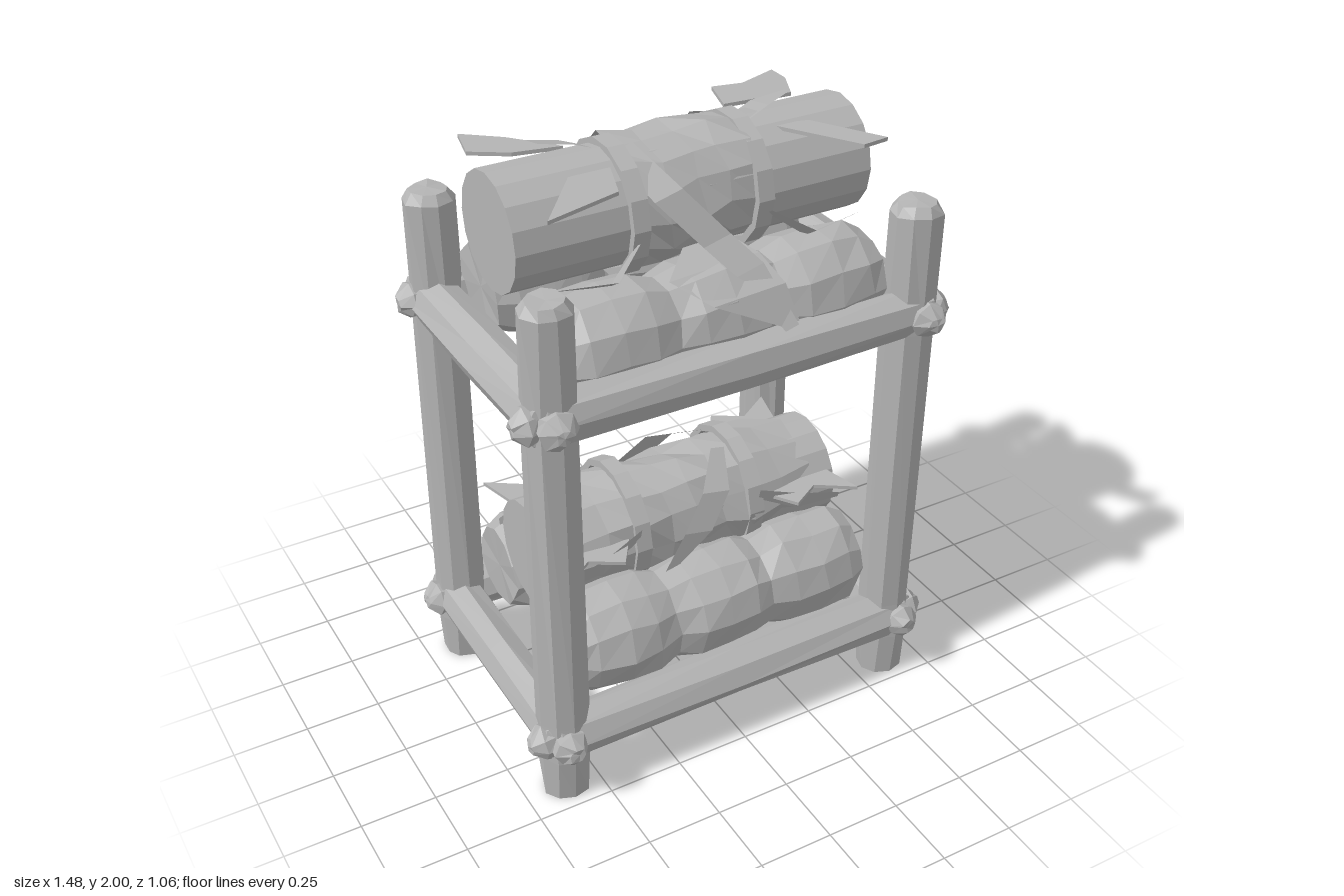
import * as THREE from 'three';

const grey = new THREE.MeshStandardMaterial({ color: 0xb4b4b4, flatShading: true, side: THREE.DoubleSide });
grey.name = 'grey';

// Repeatable noise from a position, so coincident vertices move together
const noise = (x, y, z, k) => {
  const r = (v) => Math.round(v * 1000);
  const s = Math.sin(r(x) * 0.1271 + r(y) * 0.3117 + r(z) * 0.0747 + k * 3.7) * 43758.5453;
  return (s - Math.floor(s)) * 2 - 1;
};

function jitter(geo, amount, seed) {
  const p = geo.attributes.position;
  for (let i = 0; i < p.count; i++) {
    const [x, y, z] = [p.getX(i), p.getY(i), p.getZ(i)];
    p.setXYZ(i, x + amount * noise(x, y, z, seed), y + amount * noise(x, y, z, seed + 1),
      z + amount * noise(x, y, z, seed + 2));
  }
  return geo;
}

function add(parent, name, geo, x = 0, y = 0, z = 0) {
  geo.computeVertexNormals();
  const mesh = new THREE.Mesh(geo, grey);
  mesh.name = name;
  mesh.position.set(x, y, z);
  parent.add(mesh);
  return mesh;
}

// Solid of revolution from [radius, height] pairs
const lathe = (profile, sides) =>
  new THREE.LatheGeometry(profile.map(([r, h]) => new THREE.Vector2(r, h)), sides);

// Flat band following centre points; each point may carry its own half-width vector
function ribbon(points, half) {
  const v = [], idx = [];
  points.forEach(([x, y, z, s = 1], i) => {
    v.push(x - half[0] * s, y - half[1] * s, z - half[2] * s, x + half[0] * s, y + half[1] * s, z + half[2] * s);
    if (i) idx.push(2 * i - 2, 2 * i - 1, 2 * i, 2 * i - 1, 2 * i + 1, 2 * i);
  });
  const g = new THREE.BufferGeometry();
  g.setAttribute('position', new THREE.Float32BufferAttribute(v, 3));
  g.setIndex(idx);
  return g;
}

// Thin horizontal scrap outlined by [x, z] pairs
function scrap(outline) {
  const s = new THREE.Shape(outline.map(([x, z]) => new THREE.Vector2(x, -z)));
  return new THREE.ExtrudeGeometry(s, { depth: 0.012, bevelEnabled: false }).rotateX(-Math.PI / 2);
}

function addFrame(group) {
  // Corner posts with worn tops and flared feet
  for (const sx of [-1, 1]) for (const sz of [-1, 1]) {
    const post = lathe([[0, 0], [0.075, 0], [0.085, 0.16], [0.083, 0.3], [0.083, 1.35],
      [0.082, 1.735], [0.06, 1.765], [0, 1.765]], 9);
    add(group, 'post', jitter(post, 0.004, sx + 2 * sz), sx * 0.61, 0, sz * 0.395);
    // keep the feet flat on the floor
    const p = post.attributes.position;
    for (let i = 0; i < p.count; i++) if (p.getY(i) < 0.02) p.setY(i, 0);
  }
  // Rails with pointed pegs at their ends
  const rail = (half) => lathe([[0, -half - 0.04], [0.025, -half - 0.035], [0.06, -half], [0.055, -half + 0.04],
    [0.08, -half + 0.05], [0.08, 0], [0.08, half - 0.05], [0.055, half - 0.04], [0.06, half],
    [0.025, half + 0.035], [0, half + 0.04]], 8);
  for (const y of [0.23, 1.4]) for (const s of [-1, 1]) {
    add(group, 'longRail', jitter(rail(0.7).rotateZ(Math.PI / 2), 0.006, s + y), 0, y, s * 0.41);
    add(group, 'sideRail', jitter(rail(0.49).rotateX(Math.PI / 2), 0.006, s + y + 5), s * 0.625, y, 0);
  }
}

// Soft roll tied into three bulges
function sackRoll(seed) {
  const prof = [[0, -0.53], [0.14, -0.53], [0.168, -0.47], [0.18, -0.36], [0.176, -0.26], [0.15, -0.18],
    [0.174, -0.1], [0.182, 0], [0.174, 0.1], [0.15, 0.17], [0.176, 0.25], [0.18, 0.36], [0.168, 0.47],
    [0.14, 0.53], [0, 0.53]];
  return jitter(lathe(prof, 11).rotateZ(-Math.PI / 2), 0.007, seed);
}

// Rectangular-section hoop around the roll
function strap() {
  return lathe([[0.185, -0.027], [0.208, -0.027], [0.208, 0.027], [0.185, 0.027], [0.185, -0.027]], 14)
    .rotateZ(Math.PI / 2);
}

function addRoll(group, y, halfLength, radius, seed) {
  const core = new THREE.CylinderGeometry(radius, radius, halfLength * 2, 16).rotateZ(Math.PI / 2);
  add(group, 'roll', core, 0, y, 0);
  const wrap = new THREE.CylinderGeometry(0.193, 0.193, 0.4, 13, 4, true).rotateZ(Math.PI / 2);
  add(group, 'crumpledWrap', jitter(wrap, 0.016, seed), 0, y + 0.005, 0);
}

function addLowerLoad(group) {
  for (const s of [-1, 1]) add(group, 'sackRoll', sackRoll(s + 11), 0, 0.42, s * 0.24);
  addRoll(group, 0.63, 0.53, 0.18, 4);
  for (const s of [-1, 1]) {
    add(group, 'strap', strap(), s * 0.21, 0.657, 0);
    // Crumpled cloth flaring out of each strap
    const cuff = new THREE.CylinderGeometry(0.175, 0.2, 0.24, 12, 2, true).rotateZ(-s * Math.PI / 2);
    add(group, 'clothCuff', jitter(cuff, 0.013, s + 8), s * 0.32, 0.645, 0);
    for (const t of [-1, 1]) {
      add(group, 'clothScrap', scrap([[s * 0.22, t * 0.13], [s * 0.32, t * 0.28], [s * 0.42, t * 0.22],
        [s * 0.54, t * 0.3], [s * 0.5, t * 0.14]]), 0, t > 0 ? 0.69 : 0.715, 0);
      add(group, 'clothFold', ribbon([[s * 0.22, 0.72, t * 0.2, 0.6], [s * 0.36, 0.66, t * 0.22],
        [s * 0.53, 0.62, t * 0.21, 0.3]], [0, 0.035, t * 0.01]));
    }
  }
  for (const t of [-1, 1]) {
    add(group, 'clothFold', ribbon([[-0.14, 0.57, t * 0.24, 0.3], [-0.03, 0.68, t * 0.235], [0.06, 0.78, t * 0.19],
      [0.14, 0.85, t * 0.06, 0.5]], [0.05, -0.01, 0]));
  }
}

function addUpperLoad(group) {
  for (const s of [-1, 1]) add(group, 'sackRoll', sackRoll(s + 31), 0, 1.49, s * 0.24);
  addRoll(group, 1.785, 0.592, 0.183, 9);
  for (const s of [-1, 1]) add(group, 'strap', strap(), s * 0.207, 1.78, 0);

  // Loose scraps around the top
  const scraps = [
    [[0.27, -0.15], [0.31, -0.29], [0.41, -0.27], [0.55, -0.32], [0.55, -0.24], [0.5, -0.13]],
    [[0.3, 0.06], [0.42, 0.09], [0.55, 0.31], [0.46, 0.32]],
    [[-0.24, 0.07], [-0.38, 0.09], [-0.55, 0.31], [-0.3, 0.24]],
    [[-0.3, -0.1], [-0.45, -0.13], [-0.56, -0.2], [-0.53, -0.33], [-0.42, -0.24]],
  ];
  scraps.forEach((o, i) => add(group, 'clothScrap', scrap(o), 0, 1.93 + 0.005 * (i % 2), 0));
  add(group, 'clothTip', ribbon([[-0.4, 1.98, -0.1, 0.9], [-0.3, 1.965, -0.08], [-0.2, 1.95, 0, 0.6]],
    [0, 0.012, 0.05]));
  add(group, 'clothTip', ribbon([[0.45, 1.975, -0.08, 0.3], [0.34, 1.965, -0.06], [0.21, 1.95, 0]],
    [0, 0.01, 0.05]));

  // Long bands draped over the front and the back
  add(group, 'frontBand', ribbon([[-0.19, 1.975, 0.05, 0.8], [-0.12, 1.87, 0.2], [0, 1.73, 0.27],
    [0.07, 1.65, 0.34], [0.15, 1.49, 0.45, 0.5]], [0.045, 0.012, 0]));
  add(group, 'backBand', ribbon([[0.2, 1.93, -0.16], [0.16, 1.78, -0.24], [0.12, 1.67, -0.33],
    [0.06, 1.57, -0.46], [0.05, 1.48, -0.5], [0.08, 1.34, -0.505], [0.1, 1.24, -0.48, 0.5]], [0.045, -0.008, 0]));

  // Cloth lying over the middle and side bulges
  add(group, 'frontCloth', ribbon([[0, 1.7, 0.2, 0.5], [-0.02, 1.66, 0.29], [0.04, 1.6, 0.39, 0.8],
    [0.15, 1.5, 0.44, 0.2]], [0.15, 0.01, 0]));
  for (const s of [-1, 1]) {
    add(group, 'sideFold', ribbon([[s * 0.22, 1.74, 0.2, 0.5], [s * 0.33, 1.67, 0.26], [s * 0.5, 1.69, 0.25, 0.2]],
      [0, 0.02, 0.03]));
    add(group, 'sideFold', ribbon([[s * 0.22, 1.74, -0.2, 0.5], [s * 0.33, 1.68, -0.26], [s * 0.45, 1.7, -0.2, 0.2]],
      [0, 0.02, -0.03]));
  }
  // Sagging lump beneath the shelf
  add(group, 'hangingKnot', jitter(new THREE.IcosahedronGeometry(0.06, 0), 0.008, 3), 0.1, 1.3, -0.44);
}

export function createModel() {
  const model = new THREE.Group();
  model.name = 'loadedRack';
  const parts = { frame: addFrame, lowerLoad: addLowerLoad, upperLoad: addUpperLoad };
  for (const [name, build] of Object.entries(parts)) {
    const group = new THREE.Group();
    group.name = name;
    build(group);
    model.add(group);
  }
  return model;
}
